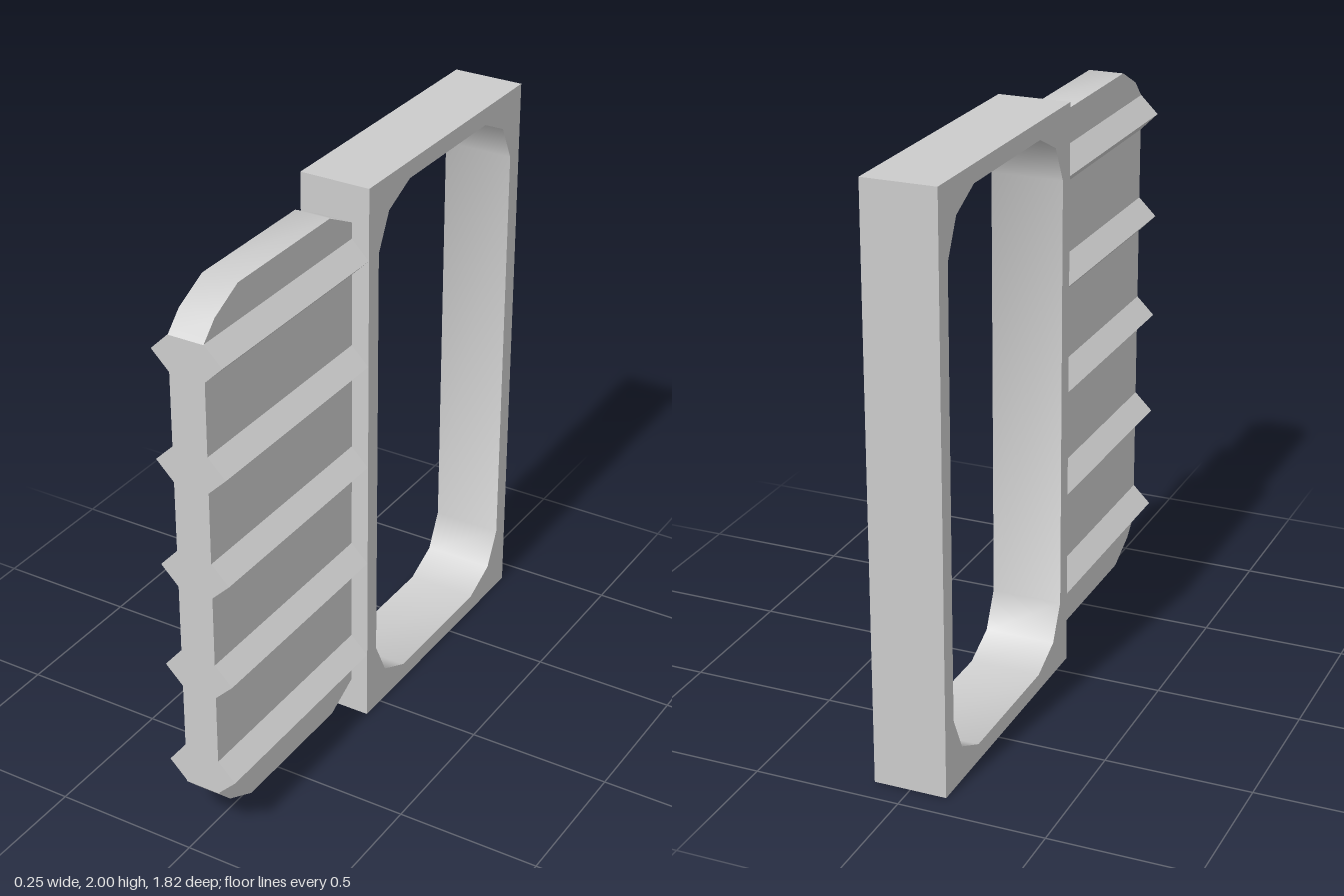
import * as THREE from 'three';
import { toCreasedNormals } from 'three/addons/utils/BufferGeometryUtils.js';

const material = new THREE.MeshStandardMaterial({ color: 0xcccccc });
const toPoints = (list) => list.map(([a, b]) => new THREE.Vector2(a, b));

// Mirror an upper half-outline (z, y) about mid height to close it
const mirrorY = (upper) => toPoints([...upper, ...upper.map(([z, y]) => [z, 2 - y]).reverse()]);

// Extrude a (z, y) outline along x, centred on x = 0
function slab(shape, thickness) {
  const geometry = new THREE.ExtrudeGeometry(shape, { depth: thickness, bevelEnabled: false });
  geometry.translate(0, 0, -thickness / 2).rotateY(-Math.PI / 2);
  return toCreasedNormals(geometry, 0.7);
}

function addMesh(parent, name, geometry) {
  const mesh = new THREE.Mesh(geometry, material);
  mesh.name = name;
  parent.add(mesh);
}

export function createModel() {
  const model = new THREE.Group();
  model.name = 'framedSlidingPanel';

  // Rectangular frame with a bevel-cornered opening
  const frame = new THREE.Shape(toPoints([[-0.91, 0], [0.09, 0], [0.09, 2], [-0.91, 2]]));
  frame.holes.push(new THREE.Path(mirrorY([
    [0.03, 1.755], [-0.032, 1.88], [-0.16, 1.94],
    [-0.66, 1.94], [-0.787, 1.88], [-0.848, 1.755],
  ])));
  addMesh(model, 'frame', slab(frame, 0.25));

  // Thin panel projecting from the front of the frame
  const panel = new THREE.Shape(mirrorY([
    [0.91, 1.815], [0.85, 1.876], [0.727, 1.937], [0.22, 1.937], [0.09, 1.872],
  ]));
  addMesh(model, 'panel', slab(panel, 0.125));

  // Five V-shaped ribs on each side of the panel
  const ribs = new THREE.Group();
  ribs.name = 'ribs';
  model.add(ribs);
  for (let i = 0; i < 5; i++) {
    const y = 0.252 + i * 0.3755;
    for (const side of [1, -1]) {
      const profile = new THREE.Shape(toPoints([
        [side * 0.0625, y - 0.0625], [side * 0.125, y], [side * 0.0625, y + 0.0625],
      ]));
      const rib = new THREE.ExtrudeGeometry(profile, { depth: 0.82, bevelEnabled: false });
      addMesh(ribs, side > 0 ? 'leftRib' : 'rightRib', rib.translate(0, 0, 0.09));
    }
  }
  return model;
}
